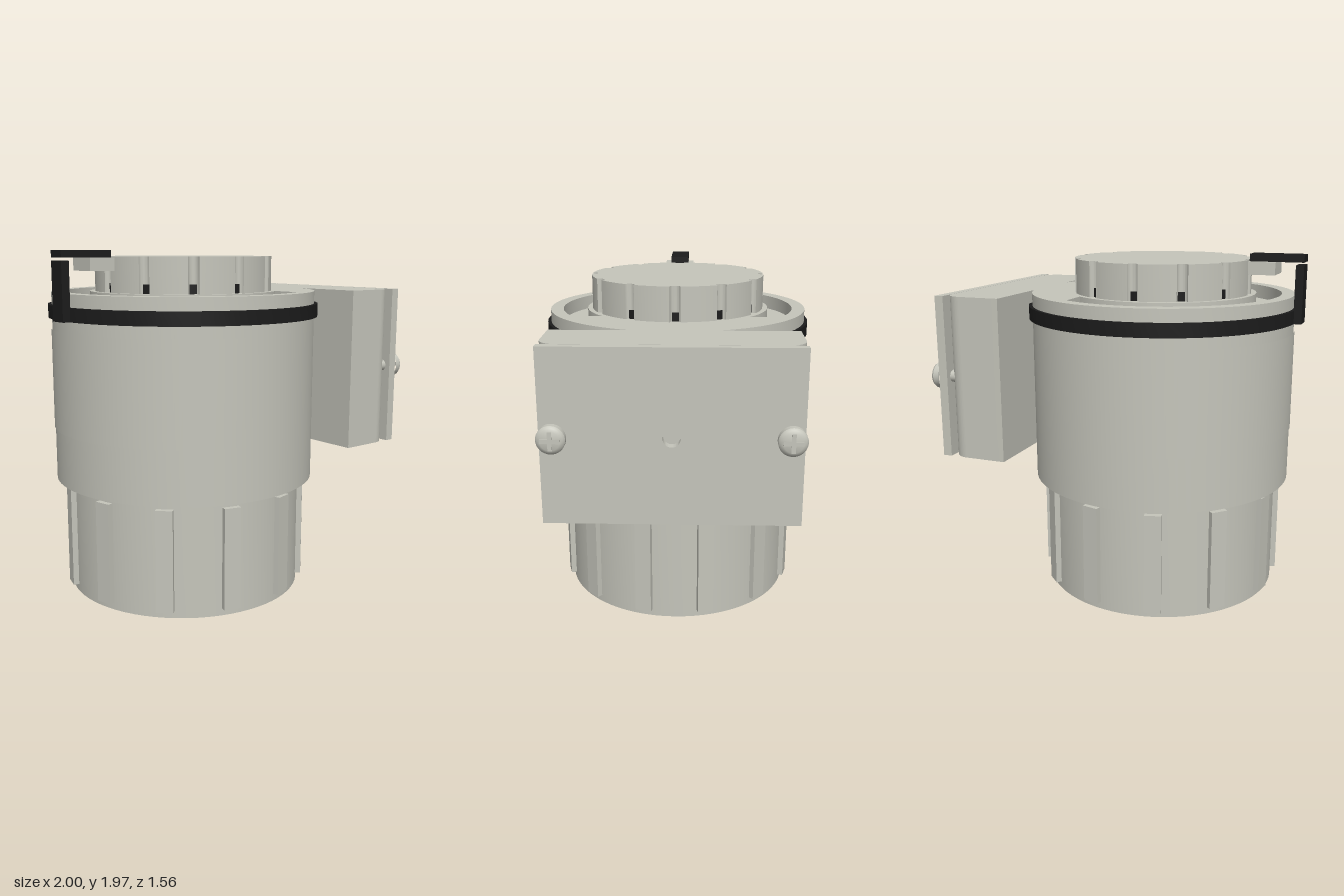
import * as THREE from 'three';
import { toCreasedNormals } from 'three/addons/utils/BufferGeometryUtils.js';

const AXIS = -0.18; // x of the main cylinder axis

export function createModel() {
  const model = new THREE.Group();
  const grey = new THREE.MeshStandardMaterial({ color: 0xc5c5bb });
  grey.name = 'warm grey plastic';
  const black = new THREE.MeshStandardMaterial({ color: 0x1c1c1c });
  black.name = 'black rubber';

  const add = (name, geo, mat, x = 0, y = 0, z = 0, parent = model) => {
    const mesh = new THREE.Mesh(geo, mat);
    mesh.name = name;
    mesh.position.set(x, y, z);
    parent.add(mesh);
    return mesh;
  };
  const lathe = (pts, seg = 72) => toCreasedNormals(
    new THREE.LatheGeometry(pts.map(p => new THREE.Vector2(...p)), seg), 0.6);
  // Extrude a plan outline upwards from y = 0
  const extrudeUp = (shape, h) => {
    const g = new THREE.ExtrudeGeometry(shape, { depth: h, bevelEnabled: false, curveSegments: 48 });
    g.rotateX(-Math.PI / 2);
    return toCreasedNormals(g, 0.6);
  };

  // Hollow collar and main housing in one turned profile
  add('housing', lathe([[0, 0.62], [0.54, 0.62], [0.54, 0], [0.685, 0], [0.685, 0.65],
    [0.76, 0.65], [0.76, 1.655], [0, 1.655]]), grey, AXIS);

  // Top rim with a C-shaped groove around the knob
  const rim = new THREE.Shape();
  rim.absarc(0, 0, 0.76, 0, Math.PI * 2);
  const outer = Math.acos(0.345 / 0.685), inner = Math.acos(0.345 / 0.54);
  const groove = new THREE.Path();
  groove.absarc(0, 0, 0.685, outer, Math.PI * 2 - outer, false);
  groove.absarc(0, 0, 0.54, Math.PI * 2 - inner, inner, true);
  groove.closePath();
  rim.holes.push(groove);
  add('topRim', extrudeUp(rim, 0.08), grey, AXIS, 1.655);

  // Grip ribs around the collar
  for (let i = 0; i < 12; i++) {
    const a = (15 + 30 * i) * Math.PI / 180;
    const rib = add('collarRib', new THREE.BoxGeometry(0.06, 0.575, 0.095), grey,
      AXIS + Math.cos(a) * 0.685, 0.3275, Math.sin(a) * 0.685);
    rib.rotation.y = -a;
  }

  // Inner thread ridges and gasket
  for (const y of [0.28, 0.37]) {
    add('threadRidge', lathe([[0.54, y + 0.03], [0.51, y + 0.015], [0.51, y - 0.015], [0.54, y - 0.03]]), grey, AXIS);
  }
  add('gasket', lathe([[0.42, 0.62], [0.42, 0.6], [0.54, 0.6]]), black, AXIS);

  // Rubber band
  add('band', lathe([[0.755, 1.59], [0.78, 1.59], [0.78, 1.665], [0.755, 1.665]]), black, AXIS);

  // Thin curved panel wrapped round the side away from the box
  const half = 78 * Math.PI / 180;
  add('sidePanel', new THREE.CylinderGeometry(0.765, 0.765, 0.57, 48, 1, true,
    -Math.PI / 2 - half, half * 2), grey, AXIS, 1.24);

  // Scalloped knob
  const knob = new THREE.Shape();
  const R = 0.51, n = 0.03, half2 = n / R;
  for (let i = 0; i < 12; i++) {
    const a = i * Math.PI / 6;
    knob.absarc(Math.cos(a) * R, Math.sin(a) * R, n, a - Math.PI / 2, a - Math.PI * 1.5, true);
    knob.absarc(0, 0, R, a + half2, a + Math.PI / 6 - half2, false);
  }
  const knobGeo = new THREE.ExtrudeGeometry(knob, { depth: 0.195, bevelEnabled: false, curveSegments: 8 });
  knobGeo.rotateX(-Math.PI / 2);
  add('knob', toCreasedNormals(knobGeo, 0.6), grey, AXIS, 1.735);
  add('knobSeal', new THREE.CylinderGeometry(0.488, 0.488, 0.05, 64), black, AXIS, 1.76);

  // Pointer bracket
  add('pointerPost', new THREE.BoxGeometry(0.045, 0.32, 0.11), black, -0.9775, 1.75);
  add('pointerArm', new THREE.BoxGeometry(0.3, 0.04, 0.11), black, -0.85, 1.945);
  add('pointerBlock', new THREE.BoxGeometry(0.15, 0.07, 0.18), grey, -0.775, 1.89);

  // Side box with rounded outer corners
  const w = 0.665, r = 0.1, x0 = 0.545, x1 = 0.885;
  const plan = new THREE.Shape();
  plan.moveTo(x0, -w);
  plan.lineTo(x1 - r, -w);
  plan.absarc(x1 - r, -w + r, r, -Math.PI / 2, 0, false);
  plan.absarc(x1 - r, w - r, r, 0, Math.PI / 2, false);
  plan.lineTo(x0, w);
  plan.closePath();
  add('sideBox', extrudeUp(plan, 0.93), grey, 0, 0.805);

  // Cover plate with a central hole
  const cover = new THREE.Shape();
  cover.moveTo(-w, -0.465);
  cover.lineTo(w, -0.465);
  cover.lineTo(w, 0.465);
  cover.lineTo(-w, 0.465);
  cover.closePath();
  const hole = new THREE.Path();
  hole.absarc(0, 0, 0.045, 0, Math.PI * 2, true);
  cover.holes.push(hole);
  const coverGeo = new THREE.ExtrudeGeometry(cover, { depth: 0.052, bevelEnabled: false, curveSegments: 24 });
  coverGeo.rotateY(Math.PI / 2);
  add('coverPlate', toCreasedNormals(coverGeo, 0.6), grey, 0.888, 1.27);

  // Cross-head screws with shanks behind the plate
  for (const s of [-1, 1]) {
    const screw = new THREE.Group();
    screw.name = 'screw';
    screw.position.set(0.94, 1.27, s * 0.6);
    screw.rotation.z = -Math.PI / 2;
    model.add(screw);
    add('screwHead', lathe([[0.075, 0], [0.075, 0.035], [0.066, 0.048], [0.05, 0.056], [0, 0.057]], 32), grey, 0, 0, 0, screw);
    add('screwSlot', new THREE.BoxGeometry(0.1, 0.006, 0.022), grey, 0, 0.057, 0, screw);
    add('screwSlot', new THREE.BoxGeometry(0.022, 0.006, 0.1), grey, 0, 0.057, 0, screw);
    add('screwShank', new THREE.CylinderGeometry(0.035, 0.035, 0.09, 24), grey, 0, -0.045, 0, screw);
  }
  return model;
}
